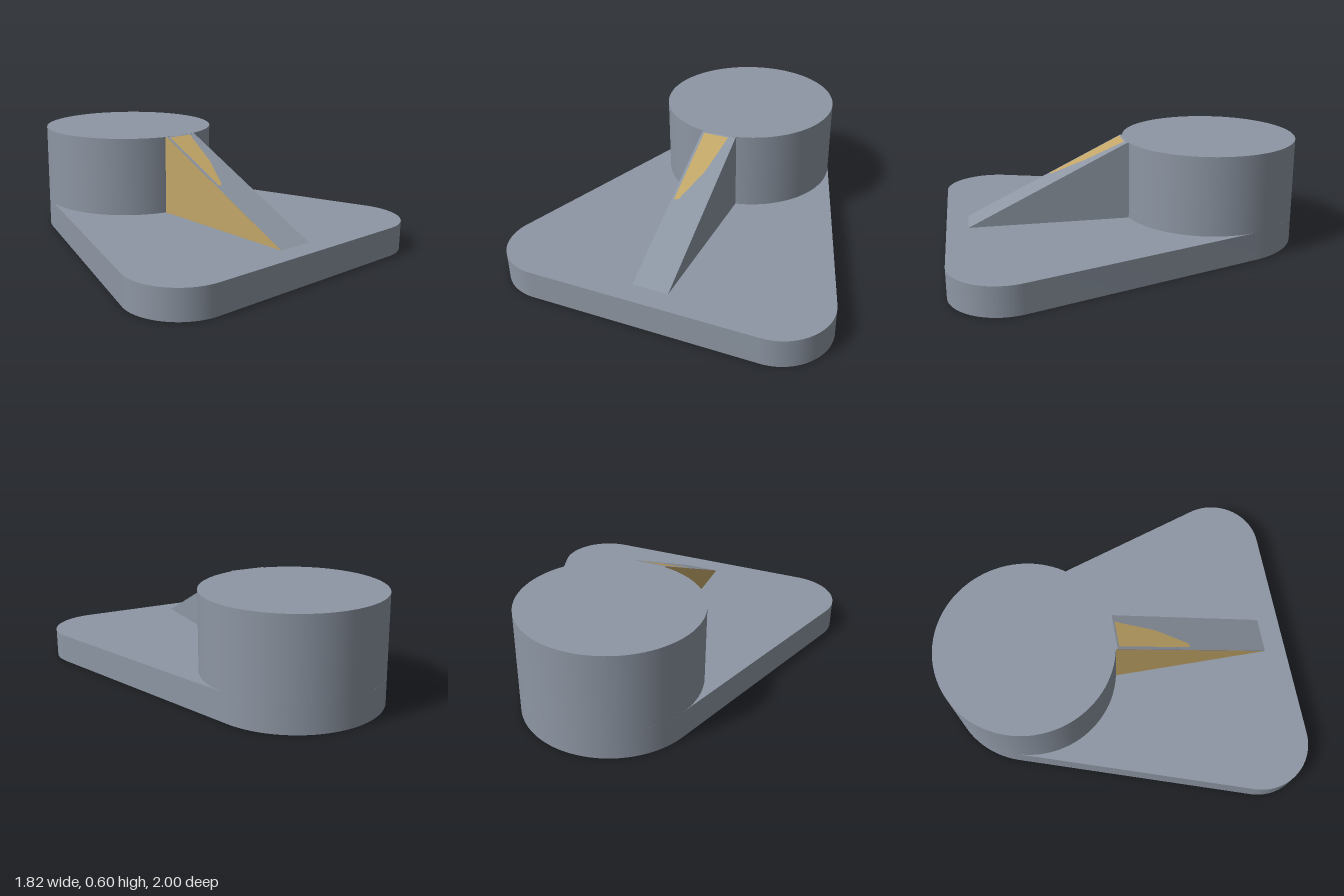
import * as THREE from 'three';
import { toCreasedNormals } from 'three/addons/utils/BufferGeometryUtils.js';

const BASE_HEIGHT = 0.16, TOP = 0.6;
const BOSS = { z: -0.505, r: 0.495 };
const CORNER = { x: 0.63, z: 0.72, r: 0.28 };
const RIB = { half: 0.1, front: 0.88, back: -0.01 };

export function createModel() {
  const grey = new THREE.MeshStandardMaterial({ name: 'steel grey', color: 0x8d96a3 });
  const tan = new THREE.MeshStandardMaterial({ name: 'tan', color: 0xc2a668 });
  const model = new THREE.Group();
  model.name = 'ribbedBracket';
  const add = (name, geometry, material) => {
    const mesh = new THREE.Mesh(geometry, material);
    mesh.name = name;
    model.add(mesh);
    return mesh;
  };

  // Base plate: three circles joined by their outer tangents
  const dz = CORNER.z - BOSS.z;
  const tangent = Math.atan2(CORNER.x, dz)
    + Math.acos((BOSS.r - CORNER.r) / Math.hypot(CORNER.x, dz)) - Math.PI / 2;
  const outline = new THREE.Shape();
  outline.absarc(CORNER.x, -CORNER.z, CORNER.r, -Math.PI / 2, tangent);
  outline.absarc(0, -BOSS.z, BOSS.r, tangent, Math.PI - tangent);
  outline.absarc(-CORNER.x, -CORNER.z, CORNER.r, Math.PI - tangent, Math.PI * 1.5);
  const plate = new THREE.ExtrudeGeometry(outline, {
    depth: BASE_HEIGHT, bevelEnabled: false, curveSegments: 40,
  }).rotateX(-Math.PI / 2);
  add('basePlate', toCreasedNormals(plate, 0.6), grey);

  // Round boss, running from the floor to the top
  add('boss', new THREE.CylinderGeometry(BOSS.r, BOSS.r, TOP, 96), grey)
    .position.set(0, TOP / 2, BOSS.z);

  // Triangular rib, its profile drawn in z and y
  const profile = new THREE.Shape([
    new THREE.Vector2(RIB.front, BASE_HEIGHT),
    new THREE.Vector2(RIB.back, TOP),
    new THREE.Vector2(RIB.back - 0.02, TOP - 0.002),
    new THREE.Vector2(RIB.back - 0.02, BASE_HEIGHT),
  ]);
  add('rib', new THREE.ExtrudeGeometry(profile, { depth: RIB.half * 2, bevelEnabled: false })
    .rotateY(-Math.PI / 2).translate(RIB.half, 0, 0), grey);

  // Tan face on the right side of the rib
  add('ribSideFace', new THREE.ShapeGeometry(profile)
    .rotateY(-Math.PI / 2).translate(-RIB.half - 0.002, 0, 0), tan);

  // Tan patch on the upper slope, laid onto the incline
  const patch = new THREE.ShapeGeometry(new THREE.Shape([
    [-0.085, 0], [-0.085, -0.41], [-0.06, -0.4], [0.015, -0.22], [0.06, 0],
  ].map(([x, y]) => new THREE.Vector2(x, y)))).rotateX(-Math.PI / 2);
  const p = patch.attributes.position;
  const slope = (TOP - BASE_HEIGHT) / (RIB.front - RIB.back);
  for (let i = 0; i < p.count; i++) {
    p.setY(i, BASE_HEIGHT + (RIB.front - p.getZ(i)) * slope + 0.003);
  }
  patch.computeVertexNormals();
  add('ribSlopePatch', patch, tan);

  return model;
}
